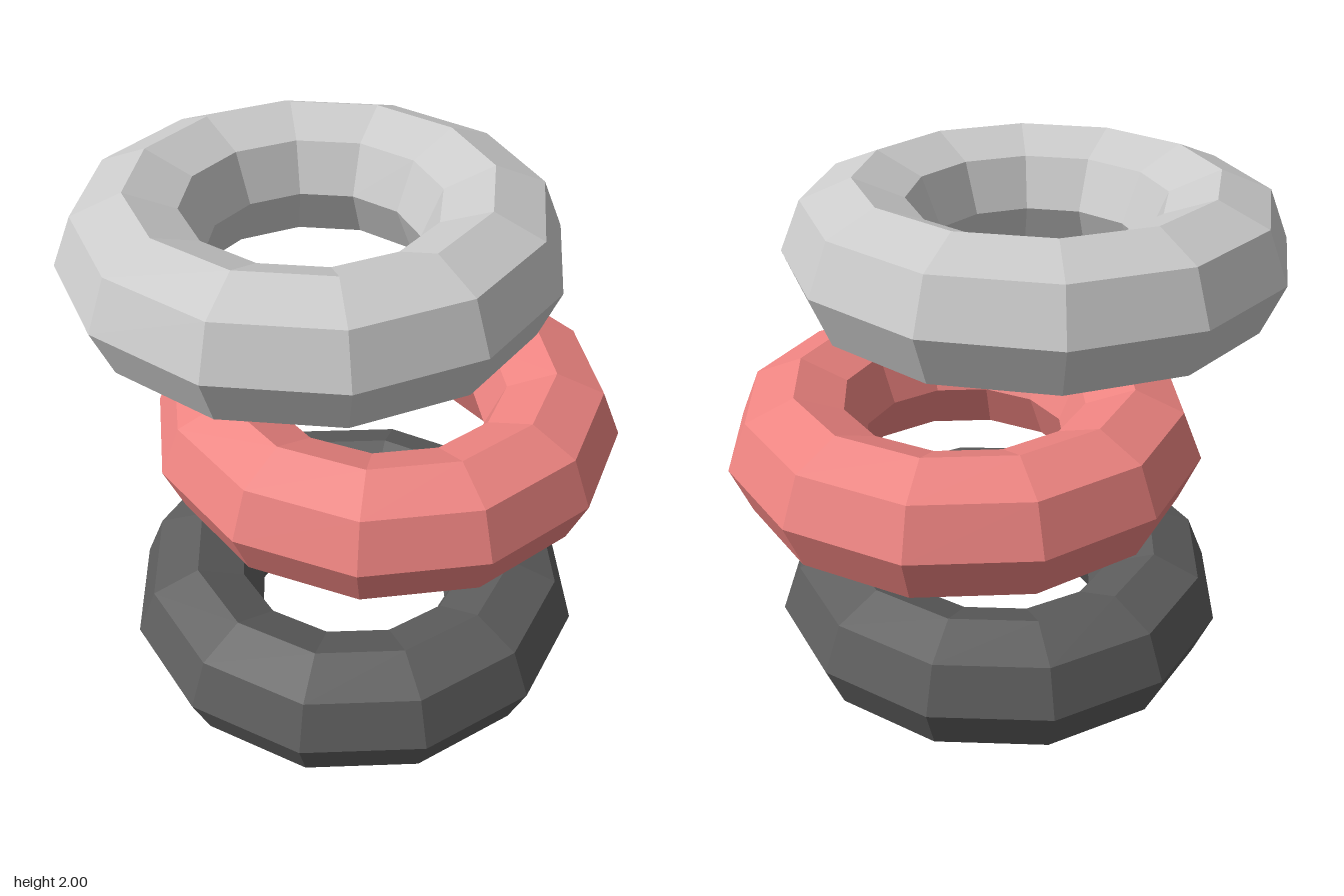
import * as THREE from 'three';

// Low-poly ring lying flat: 8-sided tube, 12 segments around
const RADIUS = 0.625;
const TUBE = 0.25;
const SPACING = 0.75;

const RINGS = [
  { name: 'bottomRing', color: 0x5d5d5d, x: -0.037, z: 0.075, turn: 0 },
  { name: 'middleRing', color: 0xee8481, x: 0.12, z: -0.02, turn: 5.5 },
  { name: 'topRing', color: 0xcccccc, x: -0.13, z: -0.08, turn: -8.5 },
];

export function createModel() {
  const group = new THREE.Group();
  group.name = 'ringStack';

  const geometry = new THREE.TorusGeometry(RADIUS, TUBE, 8, 12);
  geometry.rotateX(Math.PI / 2);

  // Three floating rings, each shifted and turned a little
  RINGS.forEach(({ name, color, x, z, turn }, i) => {
    const material = new THREE.MeshStandardMaterial({ color, flatShading: true });
    const ring = new THREE.Mesh(geometry, material);
    ring.name = name;
    ring.position.set(x, TUBE + i * SPACING, z);
    ring.rotation.y = THREE.MathUtils.degToRad(turn);
    group.add(ring);
  });

  return group;
}
